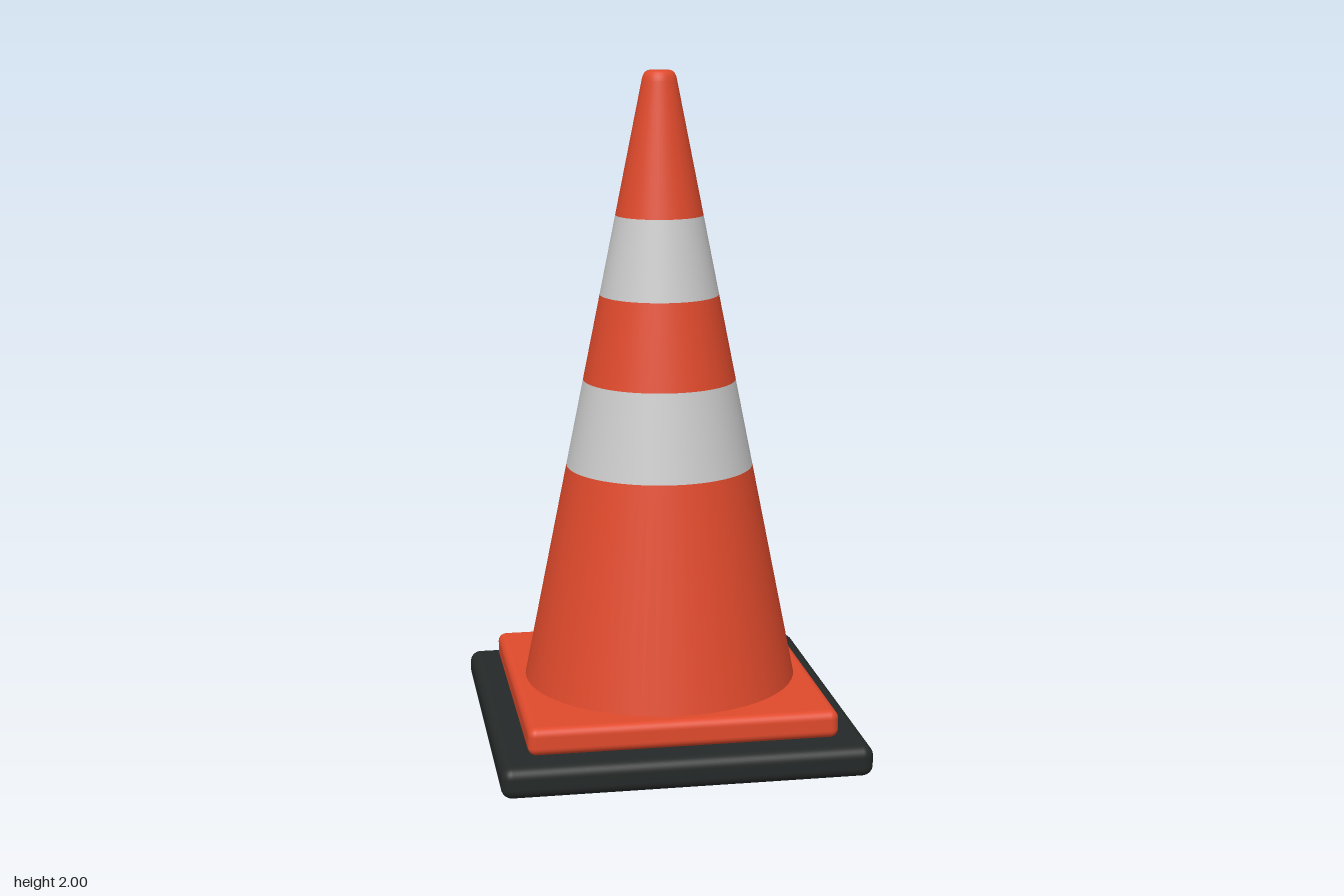
import * as THREE from 'three';
import { RoundedBoxGeometry } from 'three/addons/geometries/RoundedBoxGeometry.js';

const paint = (color) => new THREE.MeshStandardMaterial({ color });

export function createModel() {
  const group = new THREE.Group();
  const orange = paint(0xe04a2c);
  const black = paint(0x252928);
  const white = paint(0xcccccc);

  const add = (name, geometry, material, y = 0) => {
    const mesh = new THREE.Mesh(geometry, material);
    mesh.name = name;
    mesh.position.y = y;
    group.add(mesh);
  };

  // Square foot: rubber plate with a smaller slab on top
  add('rubberBase', new RoundedBoxGeometry(1.08, 0.093, 1.08, 5, 0.032), black, 0.0465);
  add('upperBase', new RoundedBoxGeometry(0.91, 0.083, 0.91, 5, 0.025), orange, 0.1345);

  // Cone wall, split into coloured bands along one straight taper
  const radiusAt = (y) => 0.412 - (y - 0.17) * 0.2;
  const bands = [
    ['coneBottom', 0.17, 0.83, orange],
    ['lowerStripe', 0.83, 1.09, white],
    ['coneMiddle', 1.09, 1.345, orange],
    ['upperStripe', 1.345, 1.58, white],
    ['coneTop', 1.58, 1.972, orange],
  ];
  for (const [name, y0, y1, material] of bands) {
    const geometry = new THREE.CylinderGeometry(radiusAt(y1), radiusAt(y0), y1 - y0, 64, 1, true);
    add(name, geometry, material, (y0 + y1) / 2);
  }

  // Closed tip with a softened rim
  const r = radiusAt(1.972);
  const tip = [[r, 1.972], [r - 0.003, 1.984], [r - 0.008, 1.994], [r - 0.017, 2], [0, 2]];
  add('tip', new THREE.LatheGeometry(tip.map(([x, y]) => new THREE.Vector2(x, y)), 64), orange);

  return group;
}
